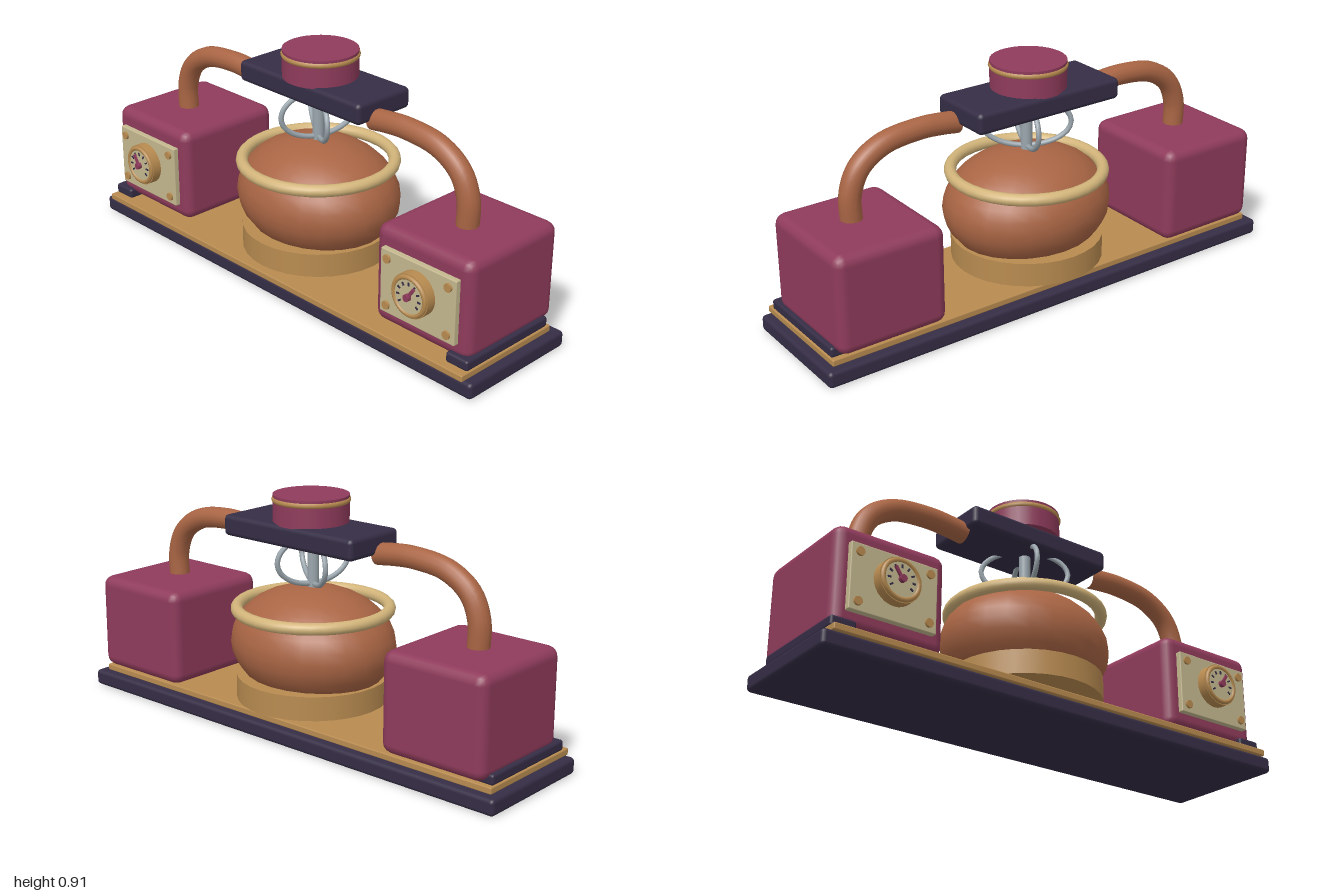
import * as THREE from 'three';
import { RoundedBoxGeometry } from 'three/addons/geometries/RoundedBoxGeometry.js';

const material = (name, color) => {
  const m = new THREE.MeshStandardMaterial({ color });
  m.name = name;
  return m;
};

export function createModel() {
  const dark = material('dark plum', 0x352d45);
  const berry = material('berry enamel', 0x8f3b5b);
  const copper = material('copper', 0xa96544);
  const brass = material('brass', 0xb88b50);
  const paleBrass = material('pale brass', 0xd2b47a);
  const cream = material('cream', 0xc4b88f);
  const steel = material('steel', 0x9aa6ad);

  const root = new THREE.Group();
  root.name = 'doubleArmMixer';

  const add = (parent, name, geometry, mat, x = 0, y = 0, z = 0) => {
    const mesh = new THREE.Mesh(geometry, mat);
    mesh.name = name;
    mesh.position.set(x, y, z);
    parent.add(mesh);
    return mesh;
  };
  // Rounded box given by its extents on each axis
  const block = (parent, name, mat, [x0, x1], [y0, y1], [z0, z1], r, seg = 2) =>
    add(parent, name, new RoundedBoxGeometry(x1 - x0, y1 - y0, z1 - z0, seg, r), mat,
      (x0 + x1) / 2, (y0 + y1) / 2, (z0 + z1) / 2);
  // Cylinder whose axis faces the front
  const disc = (parent, name, mat, r, z0, z1, x = 0, y = 0, sides = 28) =>
    add(parent, name, new THREE.CylinderGeometry(r, r, z1 - z0, sides).rotateX(Math.PI / 2),
      mat, x, y, (z0 + z1) / 2);

  // Stepped base
  block(root, 'base', dark, [-1, 1], [0, 0.062], [-0.237, 0.268], 0.015);
  block(root, 'deck', brass, [-0.965, 0.965], [0.06, 0.086], [-0.2, 0.274], 0.005);

  // Bowl: squashed sphere on a brass foot with a pale rim
  const bowl = add(root, 'bowl', new THREE.SphereGeometry(1, 24, 16), copper, 0, 0.343, 0);
  bowl.scale.set(0.333, 0.217, 0.287);
  add(root, 'bowlFoot', new THREE.CylinderGeometry(0.29, 0.29, 0.092, 32), brass, 0, 0.175, 0);
  add(root, 'bowlRim', new THREE.TorusGeometry(0.287, 0.023, 12, 36).rotateX(Math.PI / 2),
    paleBrass, 0, 0.477, 0);

  // Mixing head with a round cap
  block(root, 'head', dark, [-0.315, 0.315], [0.73, 0.811], [-0.155, 0.11], 0.018);
  add(root, 'cap', new THREE.CylinderGeometry(0.142, 0.142, 0.106, 32), berry, 0, 0.859, -0.011);
  add(root, 'capRing', new THREE.TorusGeometry(0.135, 0.012, 8, 32).rotateX(Math.PI / 2),
    brass, 0, 0.893, -0.011);

  // Whisk: shaft with two crossed wire loops
  const whisk = new THREE.Group();
  whisk.name = 'whisk';
  root.add(whisk);
  add(whisk, 'shaft', new THREE.CylinderGeometry(0.022, 0.022, 0.19, 14), steel, 0, 0.65, 0);
  for (const [px, pz] of [[0.14, 0.09], [0.05, -0.142]]) {
    const points = [];
    for (let i = 0; i < 16; i++) {
      const a = (i / 16) * Math.PI * 2;
      points.push(new THREE.Vector3(px * Math.cos(a), 0.662 + 0.092 * Math.sin(a), pz * Math.cos(a)));
    }
    add(whisk, 'wireLoop', new THREE.TubeGeometry(
      new THREE.CatmullRomCurve3(points, true), 40, 0.01, 8, true), steel);
  }

  // One side of the machine, for s = 1 (left) and s = -1 (right)
  for (const s of [1, -1]) {
    const side = new THREE.Group();
    side.name = s > 0 ? 'leftTower' : 'rightTower';
    root.add(side);
    const span = (a, b) => (s > 0 ? [a, b] : [-b, -a]);

    block(side, 'footRail', dark, span(0.865, 0.962), [0.085, 0.125], [-0.185, 0.245], 0.01);
    block(side, 'housing', berry, span(0.512, 0.948), [0.098, 0.476], [-0.234, 0.226], 0.04);

    // Curved support arm
    const path = [[0.745, 0.45], [0.745, 0.57], [0.705, 0.66], [0.61, 0.722], [0.46, 0.743], [0.36, 0.738], [0.298, 0.73]];
    const curve = new THREE.CatmullRomCurve3(path.map(([x, y]) => new THREE.Vector3(s * x, y, 0.015)));
    add(side, 'arm', new THREE.TubeGeometry(curve, 32, 0.041, 14), copper);

    // Control panel
    const panel = new THREE.Group();
    panel.name = 'controlPanel';
    panel.position.set(s * 0.732, 0.283, 0);
    side.add(panel);
    block(panel, 'plate', cream, [-0.17, 0.17], [-0.123, 0.123], [0.222, 0.247], 0.004);
    for (const x of [-0.138, 0.138]) {
      for (const y of [-0.09, 0.09]) disc(panel, 'bolt', brass, 0.016, 0.245, 0.256, x, y, 10);
    }

    // Dial with tick marks and needle
    const dial = new THREE.Group();
    dial.name = 'dial';
    dial.position.y = 0.014;
    panel.add(dial);
    disc(dial, 'dialBody', brass, 0.082, 0.246, 0.284);
    add(dial, 'dialBezel', new THREE.TorusGeometry(0.07, 0.009, 8, 28), brass, 0, 0, 0.285);
    disc(dial, 'dialFace', cream, 0.063, 0.283, 0.289);
    for (let i = 0; i < 9; i++) {
      const a = ((i / 8) * 250 - 35) * Math.PI / 180;
      const tick = add(dial, 'tick', new THREE.BoxGeometry(0.013, 0.006, 0.004), dark,
        0.048 * Math.cos(a), 0.048 * Math.sin(a), 0.29);
      tick.rotation.z = a;
    }
    const needle = add(dial, 'needle', new THREE.BoxGeometry(0.011, 0.054, 0.007), berry,
      s * 0.012, 0.018, 0.294);
    needle.rotation.z = -s * 0.6;
    disc(dial, 'needleHub', berry, 0.013, 0.287, 0.305, 0, 0, 14);
  }
  return root;
}
